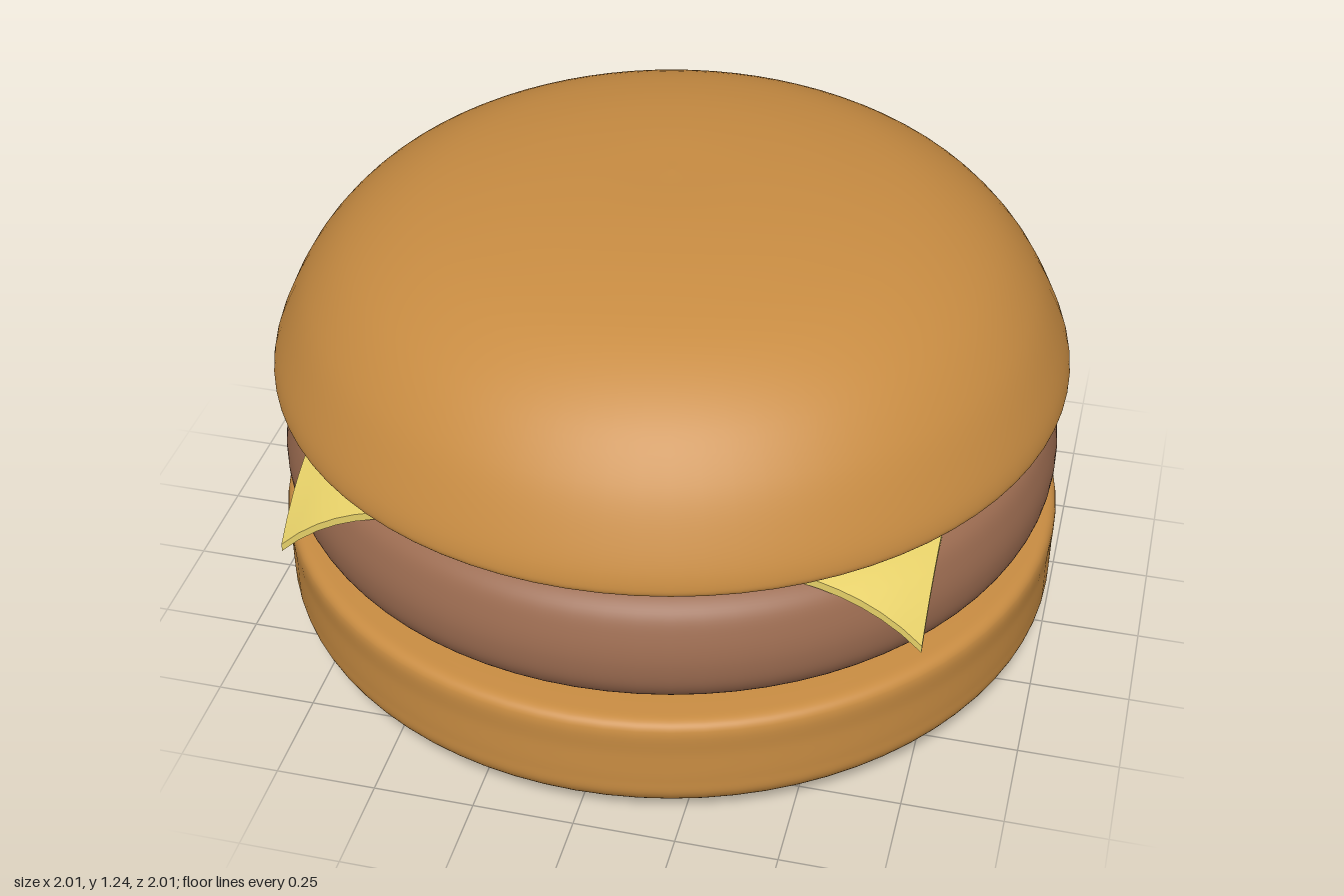
import * as THREE from 'three';

// Round layer: smooth curve through [radius, height] points, from bottom centre to top centre
function layer(name, color, profile) {
  const curve = new THREE.CatmullRomCurve3(profile.map(([r, y]) => new THREE.Vector3(r, y, 0)), false, 'centripetal');
  const points = curve.getPoints(72).map((p) => new THREE.Vector2(Math.max(0, p.x), p.y));
  const mesh = new THREE.Mesh(new THREE.LatheGeometry(points, 80), new THREE.MeshStandardMaterial({ color }));
  mesh.name = name;
  return mesh;
}

// Square slice whose corners droop over the patty
function cheeseSlice() {
  const size = 1.55, thickness = 0.02, flatRadius = 0.77;
  const cornerRadius = size / Math.SQRT2;
  const geometry = new THREE.BoxGeometry(size, thickness, size, 32, 1, 32);
  const pos = geometry.attributes.position;
  for (let i = 0; i < pos.count; i++) {
    const r = Math.hypot(pos.getX(i), pos.getZ(i));
    const t = Math.max(0, (r - flatRadius) / (cornerRadius - flatRadius));
    pos.setY(i, pos.getY(i) + 0.695 - 0.17 * t ** 2.8);
  }
  geometry.computeVertexNormals();
  const mesh = new THREE.Mesh(geometry, new THREE.MeshStandardMaterial({ color: 0xe6d068 }));
  mesh.name = 'cheeseSlice';
  return mesh;
}

export function createModel() {
  const group = new THREE.Group();
  group.name = 'burger';
  const bunColor = 0xc88c42;

  group.add(
    layer('bottomBun', bunColor, [
      [0, 0.005], [0.4, 0.008], [0.7, 0.022], [0.87, 0.045], [0.96, 0.078], [0.995, 0.12],
      [1, 0.17], [1, 0.25], [1, 0.325], [0.985, 0.343], [0.94, 0.35], [0.8, 0.354], [0, 0.355],
    ]),
    layer('patty', 0x9b6b50, [
      [0, 0.35], [0.7, 0.352], [0.86, 0.362], [0.94, 0.39], [0.977, 0.44], [0.988, 0.51],
      [0.977, 0.58], [0.95, 0.64], [0.9, 0.672], [0.8, 0.682], [0.6, 0.687], [0, 0.688],
    ]),
    cheeseSlice(),
    layer('topBun', bunColor, [
      [0, 0.708], [0.7, 0.708], [0.9, 0.712], [0.97, 0.72], [0.997, 0.735], [0.997, 0.765],
      [0.965, 0.85], [0.9, 0.965], [0.8, 1.07], [0.65, 1.155], [0.45, 1.208], [0.22, 1.235], [0, 1.24],
    ]),
  );
  return group;
}
